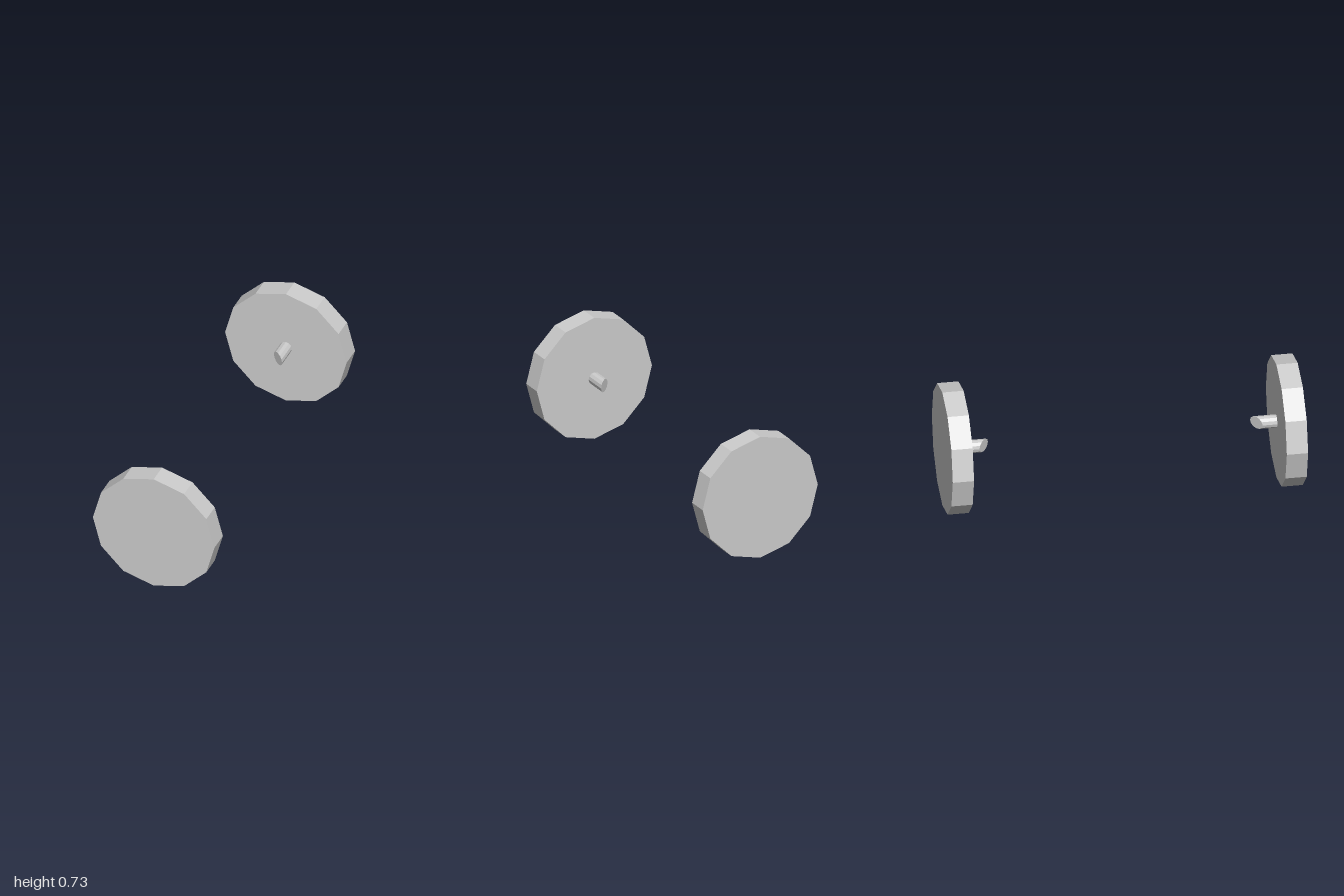
import * as THREE from 'three';

const SIDES = 12;
const WHEEL_RADIUS = 0.367;
const PIN_RADIUS = 0.037;

export function createModel() {
  const group = new THREE.Group();
  const material = new THREE.MeshStandardMaterial({ color: 0xcccccc, flatShading: true });

  // Front (+1) and back (-1) wheels, each with an axle stub pointing inward
  for (const side of [1, -1]) {
    const prefix = side > 0 ? 'front' : 'back';

    // Twelve-sided disc
    const disc = new THREE.CylinderGeometry(WHEEL_RADIUS, WHEEL_RADIUS, 0.12, SIDES);
    disc.rotateX(side * Math.PI / 2);
    const wheel = new THREE.Mesh(disc, material);
    wheel.name = prefix + 'Wheel';
    wheel.position.set(0, WHEEL_RADIUS, side * 0.94);
    group.add(wheel);

    // Axle stub, its inner end cut on a slant that is longest at +x
    const stub = new THREE.CylinderGeometry(PIN_RADIUS, PIN_RADIUS, 0.12, SIDES);
    const p = stub.attributes.position;
    for (let i = 0; i < p.count; i++) {
      p.setY(i, p.getY(i) > 0 ? 0.88 : 0.767 - p.getX(i) * 0.8);
    }
    stub.rotateX(side * Math.PI / 2);
    stub.computeVertexNormals();
    const axle = new THREE.Mesh(stub, material);
    axle.name = prefix + 'Axle';
    axle.position.y = WHEEL_RADIUS;
    group.add(axle);
  }
  return group;
}
